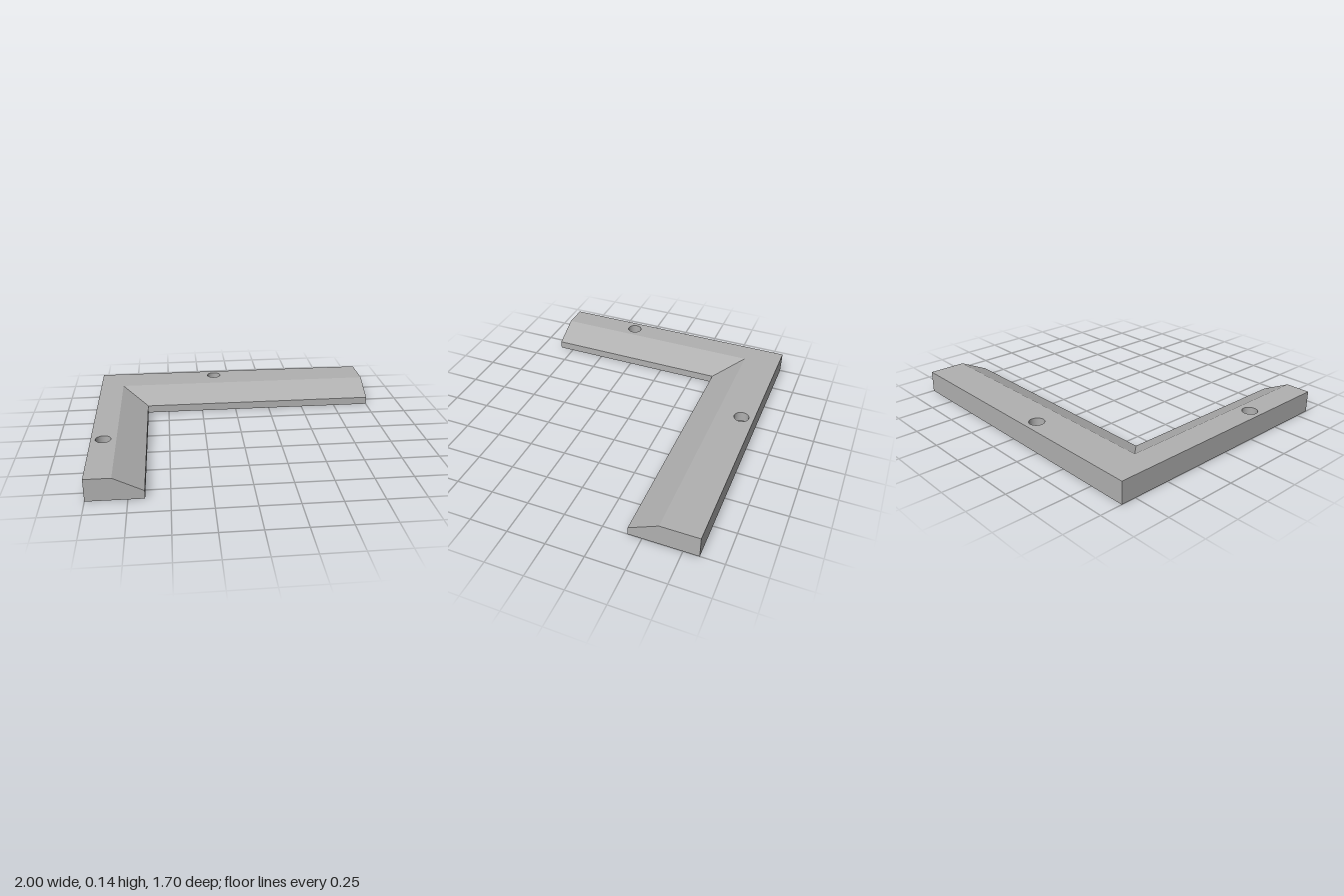
import * as THREE from 'three';

const HEIGHT = 0.145, LIP = 0.053;
const BORE = 0.032, HEAD = 0.05, LEDGE = 0.075, PIN_DEPTH = 0.06;
const screwHoles = [[-0.14, -0.765], [-0.92, 0.325]];
const pinHole = [-0.74, -0.495];

// L outline and the smaller flat top, as [x, z] corners
const outline = [[-1, -0.85], [1, -0.85], [1, -0.41], [-0.65, -0.41], [-0.65, 0.85], [-1, 0.85]];
const topEdge = [[-1, -0.85], [1, -0.85], [1, -0.6], [-0.835, -0.6], [-0.835, 0.85], [-1, 0.85]];
const shoulderY = [HEIGHT, HEIGHT, LIP, LIP, LIP, HEIGHT];

// Flat face with round holes, facing up (dir 1) or down (dir -1)
function flatFace(corners, holes, radius, y, dir) {
  const shape = new THREE.Shape(corners.map(([x, z]) => new THREE.Vector2(x, -dir * z)));
  for (const [x, z] of holes) {
    shape.holes.push(new THREE.Path().absarc(x, -dir * z, radius, 0, Math.PI * 2, true));
  }
  return new THREE.ShapeGeometry(shape, 16).rotateX(-dir * Math.PI / 2).translate(0, y, 0);
}

// Faceted skin joining stacked loops of points
function loft(loops) {
  const points = [];
  const triangle = (a, b, c) => {
    if (new THREE.Triangle(a, b, c).getArea() > 1e-6) points.push(a, b, c);
  };
  for (let k = 0; k + 1 < loops.length; k++) {
    const low = loops[k], high = loops[k + 1];
    low.forEach((p, i) => {
      const j = (i + 1) % low.length;
      triangle(p, high[i], high[j]);
      triangle(p, high[j], low[j]);
    });
  }
  const geometry = new THREE.BufferGeometry().setFromPoints(points);
  geometry.computeVertexNormals();
  return geometry;
}

export function createModel() {
  const group = new THREE.Group();
  group.name = 'cornerBracket';
  const grey = new THREE.MeshStandardMaterial({ color: 0xb0b0b0, side: THREE.DoubleSide });
  grey.name = 'grey';

  const add = (name, geometry, x = 0, y = 0, z = 0) => {
    const mesh = new THREE.Mesh(geometry, grey);
    mesh.name = name;
    mesh.position.set(x, y, z);
    group.add(mesh);
  };
  const holeWall = (name, radius, y0, y1, x, z) =>
    add(name, new THREE.CylinderGeometry(radius, radius, y1 - y0, 32, 1, true), x, (y0 + y1) / 2, z);

  // Outer walls, low inner lip and mitred slopes
  const loop = (corners, heights) => corners.map(([x, z], i) => new THREE.Vector3(x, heights[i], z));
  add('wallsAndSlopes', loft([
    loop(outline, outline.map(() => 0)),
    loop(outline, shoulderY),
    loop(topEdge, topEdge.map(() => HEIGHT)),
  ]));

  // Flat top and underside
  add('topFace', flatFace(topEdge, screwHoles, HEAD, HEIGHT, 1));
  add('underside', flatFace(outline, [...screwHoles, pinHole], BORE, 0, -1));

  // Counterbored screw holes
  for (const [x, z] of screwHoles) {
    holeWall('screwBore', BORE, 0, LEDGE, x, z);
    holeWall('screwHeadRecess', HEAD, LEDGE, HEIGHT, x, z);
    add('screwLedge', new THREE.RingGeometry(BORE, HEAD, 32).rotateX(-Math.PI / 2), x, LEDGE, z);
  }

  // Blind pin hole under the mitre
  const [px, pz] = pinHole;
  holeWall('pinHoleWall', BORE, 0, PIN_DEPTH, px, pz);
  add('pinHoleEnd', new THREE.CircleGeometry(BORE, 32).rotateX(Math.PI / 2), px, PIN_DEPTH, pz);

  return group;
}
